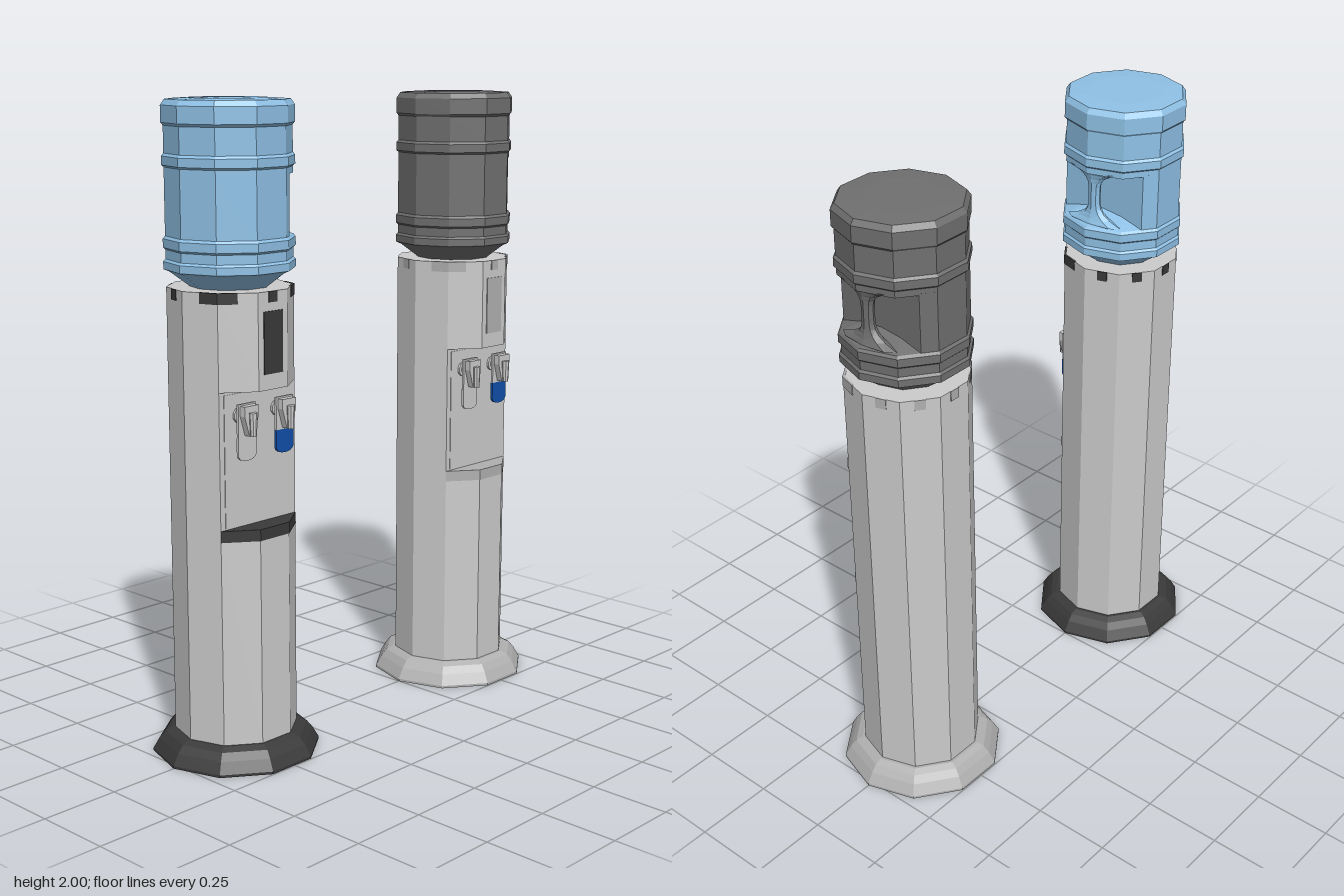
import * as THREE from 'three';

const R = 0.19; // column and bottle radius
const DEG = Math.PI / 180;
const GREY = 0xcccccc;

const at = (deg, r = R) => [r * Math.cos(deg * DEG), r * Math.sin(deg * DEG)]; // [x, z]
const decagon = (r) => Array.from({ length: 10 }, (_, i) => at(i * 36, r));

function add(group, name, geometry, color) {
  const material = new THREE.MeshStandardMaterial({ color, flatShading: true });
  const mesh = new THREE.Mesh(geometry, material);
  mesh.name = name;
  group.add(mesh);
  return mesh;
}

// upright prism over an [x, z] outline
function prism(points, y0, y1) {
  const shape = new THREE.Shape(points.map(([x, z]) => new THREE.Vector2(x, -z)));
  return new THREE.ExtrudeGeometry(shape, { depth: y1 - y0, bevelEnabled: false })
    .rotateX(-Math.PI / 2).translate(0, y0, 0);
}

// ten-sided turned form, corners on the x axis
const turned = (profile) =>
  new THREE.LatheGeometry(profile.map((p) => new THREE.Vector2(...p)), 10, Math.PI / 10);

const box = (w, h, d, x, y, z) => new THREE.BoxGeometry(w, h, d).translate(x, y, z);

// hourglass grip: a cylinder flared towards both ends
function gripGeometry(y0, y1) {
  const geo = new THREE.CylinderGeometry(1, 1, 2, 8, 12);
  const p = geo.attributes.position;
  for (let i = 0; i < p.count; i++) {
    const t = Math.abs(p.getY(i)) ** 4;
    p.setXYZ(i,
      0.148 + p.getX(i) * (0.018 + 0.012 * t),
      (y0 + y1) / 2 + (p.getY(i) * (y1 - y0)) / 2,
      p.getZ(i) * (0.02 + 0.085 * t));
  }
  geo.computeVertexNormals();
  return geo;
}

function makeBottle(color) {
  const bottle = new THREE.Group();
  bottle.name = 'bottle';
  add(bottle, 'bottleBottom', turned([
    [0, 1.44], [0.12, 1.45], [0.18, 1.495], [0.197, 1.502], [0.197, 1.525], [R, 1.532],
    [R, 1.56], [0.197, 1.566], [0.197, 1.592], [R, 1.6], [0.1, 1.63], [0, 1.63],
  ]), color);
  // middle, cut flat behind the grip
  const cut = [[0.1, 0.151]];
  for (let a = 72; a <= 288; a += 36) cut.push(at(a));
  cut.push([0.1, -0.151]);
  add(bottle, 'bottleMiddle', prism(cut, 1.6, 1.785), color);
  add(bottle, 'bottleTop', turned([
    [0, 1.78], [R, 1.78], [R, 1.8], [0.197, 1.806], [0.197, 1.832], [R, 1.84], [R, 1.92],
    [0.197, 1.928], [0.197, 1.978], [0.185, 1.995], [0.12, 1.999], [0, 2],
  ]), color);
  add(bottle, 'bottleGrip', gripGeometry(1.605, 1.785), color);
  return bottle;
}

function makeTap(x, paddleColor) {
  const tap = new THREE.Group();
  tap.name = 'tap';
  tap.position.set(x, 0, 0);
  const spout = new THREE.CylinderGeometry(0.014, 0.014, 0.045, 10).rotateX(Math.PI / 2);
  add(tap, 'tapStem', spout.translate(0, 1.085, 0.132), GREY);
  add(tap, 'tapCollar', new THREE.CylinderGeometry(0.024, 0.024, 0.008, 10)
    .rotateX(Math.PI / 2).translate(0, 1.085, 0.117), GREY);
  add(tap, 'tapBack', box(0.07, 0.1, 0.008, 0, 1.075, 0.146), GREY);

  // paddle with a rounded lower edge
  const paddle = new THREE.Shape();
  paddle.moveTo(0.036, 1.025);
  paddle.lineTo(-0.036, 1.025);
  paddle.lineTo(-0.036, 0.97);
  paddle.quadraticCurveTo(-0.03, 0.953, 0, 0.953);
  paddle.quadraticCurveTo(0.03, 0.953, 0.036, 0.97);
  add(tap, 'tapPaddle', new THREE.ExtrudeGeometry(paddle,
    { depth: 0.008, bevelEnabled: false, curveSegments: 4 }).translate(0, 0, 0.142), paddleColor);

  // tapering lever and nozzle
  const lever = new THREE.Shape([[-0.028, 1.12], [-0.028, 1.09], [-0.01, 1.03],
    [0.01, 1.03], [0.028, 1.09], [0.028, 1.12]].map((p) => new THREE.Vector2(...p)));
  add(tap, 'tapLever', new THREE.ExtrudeGeometry(lever,
    { depth: 0.02, bevelEnabled: false }).translate(0, 0, 0.15), GREY);
  add(tap, 'tapNozzle', new THREE.CylinderGeometry(0.013, 0.01, 0.07, 8)
    .translate(0, 1.065, 0.176), GREY);
  return tap;
}

function makeCooler(x, accent, bottleColor) {
  const cooler = new THREE.Group();
  cooler.name = 'waterCooler';
  cooler.position.x = x;

  add(cooler, 'base', turned([
    [0, 0], [0.26, 0], [0.26, 0.008], [0.24, 0.042], [0.222, 0.064], [0.2, 0.074], [0, 0.074],
  ]), accent);

  // column, with the front three faces cut back at the tap recess
  const recessed = decagon(R).filter((_, i) => i !== 2 && i !== 3);
  add(cooler, 'columnLower', prism(decagon(R), 0.07, 0.74), GREY);
  add(cooler, 'columnRecess', prism(recessed, 0.74, 1.16), GREY);
  add(cooler, 'columnUpper', prism(decagon(R), 1.16, 1.45), GREY);
  add(cooler, 'recessPanel', box(0.27, 0.4, 0.004, 0, 0.95, 0.1115), GREY);
  add(cooler, 'dripTray', prism([36, 72, 108, 144].map((a) => at(a, 0.1915)), 0.71, 0.745), accent);
  add(cooler, 'displayPanel', box(0.075, 0.185, 0.006, 0, 1.3, 0.1805), accent);

  // trim below the rim: small tabs on the faces, wide wraps at the front corners
  for (const a of [90, 198, 234, 270, 306, 342]) {
    const [tx, tz] = at(a, R * Math.cos(18 * DEG));
    const tab = add(cooler, 'rimTab', new THREE.BoxGeometry(0.033, 0.032, 0.005), accent);
    tab.position.set(tx, 1.434, tz);
    tab.rotation.y = (90 - a) * DEG;
  }
  const apothem = R * Math.cos(18 * DEG);
  for (const side of [1, -1]) {
    const wrap = [];
    for (const k of [1.01, 0.97]) {
      const edge = [at(54, apothem * k), at(36, R * k), at(18, apothem * k)];
      wrap.push(...(k > 1 ? edge : edge.reverse()));
    }
    add(cooler, 'rimWrap', prism(wrap.map(([px, pz]) => [px * side, pz]), 1.418, 1.451), accent);
  }

  cooler.add(makeTap(-0.078, GREY), makeTap(0.075, 0x0f4fa8), makeBottle(bottleColor));
  return cooler;
}

export function createModel() {
  const model = new THREE.Group();
  model.name = 'waterCoolers';
  model.add(makeCooler(-0.51, 0x3a3a3a, 0x8fc1e6), makeCooler(0.51, 0xb0b0b0, 0x707070));
  return model;
}
